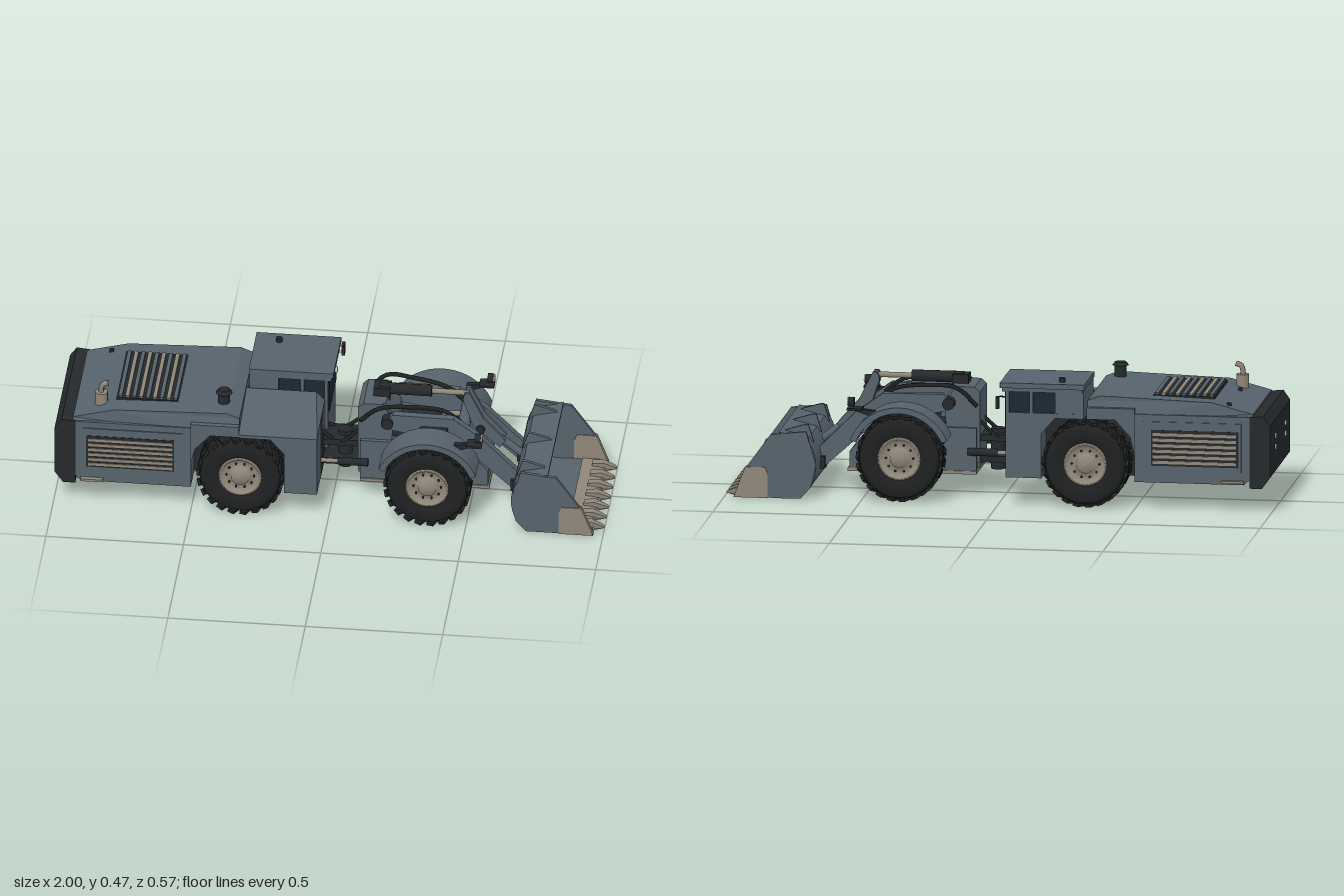
import * as THREE from 'three';

const V = (x, y, z) => new THREE.Vector3(x, y, z);
const mat = (color, side = THREE.FrontSide) => new THREE.MeshStandardMaterial({ color, side });
const steel = mat(0x56626d), dark = mat(0x25292c), rubber = mat(0x1f2122), tan = mat(0x8f8678);
const glass = mat(0x1b2931), lamp = mat(0xe0cda8);

export function createModel() {
  const model = new THREE.Group();
  const root = new THREE.Group();
  root.name = 'loader';
  root.position.z = 0.02;
  model.add(root);

  const add = (name, geo, m, parent = root) => {
    const mesh = new THREE.Mesh(geo, m);
    mesh.name = name;
    parent.add(mesh);
    return mesh;
  };
  const box = (name, x0, x1, y0, y1, z0, z1, m, parent) =>
    add(name, new THREE.BoxGeometry(x1 - x0, y1 - y0, Math.abs(z1 - z0))
      .translate((x0 + x1) / 2, (y0 + y1) / 2, (z0 + z1) / 2), m, parent);
  // Side profile in x,y pushed from z0 to z1
  const slab = (name, pts, z0, z1, m) => {
    const shape = new THREE.Shape(pts.map(p => new THREE.Vector2(...p)));
    const lo = Math.min(z0, z1);
    return add(name, new THREE.ExtrudeGeometry(shape, { depth: Math.abs(z1 - z0), bevelEnabled: false })
      .translate(0, 0, lo), m);
  };
  const rod = (name, a, b, r, m, seg = 14) => {
    const mesh = add(name, new THREE.CylinderGeometry(r, r, a.distanceTo(b), seg), m);
    mesh.position.copy(a).lerp(b, 0.5);
    mesh.quaternion.setFromUnitVectors(V(0, 1, 0), b.clone().sub(a).normalize());
    return mesh;
  };
  const hose = (name, pts, r, m) =>
    add(name, new THREE.TubeGeometry(new THREE.CatmullRomCurve3(pts), 20, r, 6), m);
  const lathe = (pts, seg) =>
    new THREE.LatheGeometry(pts.map(p => new THREE.Vector2(...p)), seg).rotateX(Math.PI / 2);

  // Wheels with lugged tyres and bolted rims
  const wheel = (name, x, s) => {
    const g = new THREE.Group();
    g.name = name;
    g.position.set(x, 0.16, s * 0.203);
    if (s < 0) g.rotation.y = Math.PI;
    root.add(g);
    add('tyre', lathe([[0.076, -0.045], [0.1, -0.055], [0.133, -0.055], [0.146, -0.045], [0.149, 0],
      [0.146, 0.045], [0.133, 0.055], [0.1, 0.055], [0.076, 0.045]], 40), rubber, g);
    add('rim', lathe([[0, -0.04], [0.078, -0.04], [0.079, 0.05], [0.07, 0.052], [0.062, 0.035],
      [0.036, 0.035], [0.032, 0.052], [0, 0.054]], 32), tan, g);
    for (let i = 0; i < 10; i++) {
      const a = i * Math.PI / 5;
      add('wheelBolt', new THREE.CylinderGeometry(0.004, 0.004, 0.01, 6).rotateX(Math.PI / 2)
        .translate(Math.cos(a) * 0.05, Math.sin(a) * 0.05, 0.038), dark, g);
    }
    for (let i = 0; i < 44; i++) {
      const e = i % 2 ? 1 : -1;
      add('tread', new THREE.BoxGeometry(0.026, 0.011, 0.056).rotateY(e * 0.45)
        .translate(0, 0.152, e * 0.028).rotateZ(i * Math.PI / 22), rubber, g);
    }
  };

  // Rear chassis, bumper and engine hood
  box('rearChassis', -0.9, -0.04, 0.1, 0.34, -0.135, 0.135, dark);
  slab('rearBumper', [[-0.92, 0.35], [-0.97, 0.355], [-0.995, 0.32], [-0.995, 0.13], [-0.965, 0.088],
    [-0.92, 0.088]], -0.245, 0.245, dark);
  const hood = slab('engineHood', [[-0.93, 0.345], [-0.93, 0.358], [-0.78, 0.397], [-0.37, 0.41],
    [-0.325, 0.392], [-0.325, 0.325], [-0.5, 0.33]], -0.245, 0.245, steel);
  const hp = hood.geometry.attributes.position;
  for (let i = 0; i < hp.count; i++) if (hp.getY(i) > 0.35) hp.setZ(i, hp.getZ(i) * 0.925);
  hood.geometry.computeVertexNormals();
  box('hoodGrille', -0.78, -0.555, 0.385, 0.406, -0.16, 0.155, dark);
  for (let i = 0; i < 9; i++) {
    const x = -0.767 + i * 0.025;
    box('hoodLouvre', x - 0.007, x + 0.007, 0.395, 0.413, -0.155, 0.15, i % 2 ? tan : steel);
  }

  for (const s of [1, -1]) {
    // Rear side with an angular wheel arch
    slab('rearSide', [[-0.93, 0.35], [-0.93, 0.13], [-0.9, 0.1], [-0.5, 0.1], [-0.5, 0.25], [-0.43, 0.327],
      [-0.325, 0.327], [-0.325, 0.35]], s * 0.13, s * 0.245, steel);
    slab('archPanel', [[-0.5, 0.2], [-0.5, 0.37], [-0.325, 0.37], [-0.325, 0.327], [-0.43, 0.327],
      [-0.485, 0.265]], s * 0.22, s * 0.252, steel);
    box('sidePanel', -0.89, -0.53, 0.145, 0.325, s * 0.24, s * 0.249, steel);
    box('sideGrille', -0.88, -0.56, 0.163, 0.295, s * 0.24, s * 0.2505, dark);
    for (let i = 0; i < 6; i++)
      box('sideLouvre', -0.872, -0.566, 0.171 + i * 0.0205, 0.182 + i * 0.0205, s * 0.24, s * 0.254, tan);
    box('sideReflector', -0.9, -0.82, 0.107, 0.116, s * 0.24, s * 0.262, tan);
    for (const y of [0.22, 0.26])
      rod('rearLamp', V(-0.99, y, s * 0.12), V(-1, y, s * 0.12), 0.01, lamp);
    wheel('rearWheel', -0.32, s);
    wheel('frontWheel', 0.36, s);
  }
  for (const x of [-0.32, 0.36]) rod('axle', V(x, 0.16, -0.19), V(x, 0.16, 0.19), 0.04, dark);

  // Tank block ahead of the rear wheel, opposite the cab
  const tank = slab('sideTank', [[-0.325, 0.327], [-0.325, 0.383], [-0.07, 0.383], [-0.04, 0.35], [-0.04, 0.105],
    [-0.16, 0.105], [-0.16, 0.27], [-0.21, 0.327]], 0, 0.255, steel);
  const tp = tank.geometry.attributes.position;
  for (let i = 0; i < tp.count; i++) if (tp.getZ(i) > 0.2 && tp.getY(i) > 0.33) tp.setY(i, 0.34);
  tank.geometry.computeVertexNormals();

  // Cab
  slab('cabBody', [[-0.315, 0.327], [-0.315, 0.345], [-0.03, 0.345], [-0.03, 0.105], [-0.16, 0.105],
    [-0.16, 0.27], [-0.21, 0.327]], -0.255, -0.012, steel);
  box('cabGlass', -0.3, -0.035, 0.34, 0.437, -0.248, -0.022, glass);
  box('windscreen', -0.04, -0.026, 0.285, 0.427, -0.242, -0.025, glass);
  box('cabRearPanel', -0.315, -0.21, 0.34, 0.437, -0.254, -0.014, steel);
  for (const x of [-0.13, -0.043])
    for (const z of [-0.249, -0.019])
      box('cabPillar', x, x + 0.013, 0.34, 0.437, z - 0.006, z + 0.006, steel);
  box('roofEdge', -0.31, -0.018, 0.422, 0.438, -0.258, -0.013, steel);
  box('cabRoof', -0.318, -0.01, 0.436, 0.455, -0.264, -0.012, steel);
  for (const z of [-0.075, -0.212]) rod('cabLamp', V(-0.02, 0.436, z), V(-0.002, 0.436, z), 0.011, lamp);
  rod('roofBeacon', V(-0.23, 0.45, -0.213), V(-0.23, 0.47, -0.213), 0.012, dark);
  hose('mirrorArm', [V(-0.03, 0.4, -0.25), V(-0.012, 0.405, -0.265), V(-0.005, 0.405, -0.285)], 0.003, dark);
  box('mirror', -0.012, 0, 0.366, 0.41, -0.307, -0.281, dark);

  // Air intake, exhaust and filler on the hood
  rod('airIntake', V(-0.39, 0.39, 0.145), V(-0.39, 0.452, 0.145), 0.022, dark);
  add('intakeCap', new THREE.CylinderGeometry(0.02, 0.03, 0.012, 16).translate(-0.39, 0.456, 0.145), dark);
  rod('exhaustBase', V(-0.835, 0.37, 0.155), V(-0.835, 0.428, 0.155), 0.023, tan);
  hose('exhaustPipe', [V(-0.835, 0.41, 0.155), V(-0.835, 0.445, 0.155), V(-0.828, 0.46, 0.155),
    V(-0.81, 0.466, 0.155)], 0.01, mat(0x8f8678, THREE.DoubleSide));
  for (const z of [-0.19, 0.08]) box('hoodLatch', -0.845, -0.83, 0.375, 0.392, z - 0.006, z + 0.006, dark);

  // Articulated joint and steering rams
  for (const y of [0.115, 0.195]) box('hingePlate', -0.05, 0.14, y, y + 0.024, -0.055, 0.055, dark);
  rod('hingePin', V(0.035, 0.085, 0), V(0.035, 0.235, 0), 0.026, dark);
  for (const s of [1, -1]) {
    rod('steeringRam', V(0.02, 0.165, s * 0.112), V(0.13, 0.165, s * 0.112), 0.014, dark);
    rod('steeringRod', V(-0.06, 0.165, s * 0.112), V(0.03, 0.165, s * 0.112), 0.008, tan);
    hose('jointHose', [V(-0.05, 0.24, s * 0.03), V(0.02, 0.21, s * 0.05), V(0.1, 0.27, s * 0.04)], 0.007, rubber);
  }

  // Front frame
  slab('frontTower', [[0.09, 0.1], [0.09, 0.38], [0.11, 0.398], [0.19, 0.4], [0.23, 0.33], [0.25, 0.1]],
    -0.075, 0.075, steel);
  slab('frontFrame', [[0.1, 0.09], [0.1, 0.25], [0.48, 0.25], [0.565, 0.15], [0.565, 0.09]], -0.1, 0.1, steel);
  box('bellyPlate', 0.1, 0.57, 0.08, 0.092, -0.105, 0.105, tan);

  for (const s of [1, -1]) {
    slab('towerSide', [[0.09, 0.12], [0.09, 0.38], [0.11, 0.398], [0.18, 0.4], [0.22, 0.33], [0.2, 0.12]],
      s * 0.07, s * 0.085, steel);
    // Front wheel guard with a faceted arch
    const arch = new THREE.Shape();
    arch.absarc(0.36, 0.16, 0.19, 0.35, 2.75, false);
    arch.absarc(0.36, 0.16, 0.168, 2.75, 0.35, true);
    const fender = add('frontFender', new THREE.ExtrudeGeometry(arch,
      { depth: 0.115, bevelEnabled: false, curveSegments: 10 }), steel);
    fender.position.z = s > 0 ? 0.145 : -0.26;
    slab('fenderInnerWall', [[0.2, 0.24], [0.27, 0.32], [0.36, 0.345], [0.45, 0.32], [0.53, 0.23]],
      s * 0.142, s * 0.148, steel);
    box('fenderMount', 0.32, 0.42, 0.24, 0.335, s * 0.1, s * 0.145, dark);
    // Work lamps
    box('lampBracket', 0.5, 0.555, 0.328, 0.336, s * 0.18, s * 0.232, dark);
    slab('lampStay', [[0.45, 0.3], [0.45, 0.325], [0.52, 0.335], [0.54, 0.328]], s * 0.195, s * 0.215, dark);
    rod('lampHousing', V(0.53, 0.357, s * 0.206), V(0.552, 0.357, s * 0.206), 0.017, dark);
    rod('lampLens', V(0.55, 0.357, s * 0.206), V(0.556, 0.357, s * 0.206), 0.0145, lamp);
    // Boom, lift rams and hoses
    slab('boomArm', [[0.18, 0.33], [0.22, 0.375], [0.44, 0.372], [0.54, 0.3], [0.7, 0.14], [0.7, 0.09],
      [0.66, 0.09], [0.46, 0.27], [0.22, 0.31]], s * 0.086, s * 0.114, steel);
    rod('boomPivot', V(0.2, 0.34, s * 0.07), V(0.2, 0.34, s * 0.125), 0.022, dark);
    rod('liftRam', V(0.2, 0.27, s * 0.06), V(0.38, 0.285, s * 0.06), 0.02, dark);
    rod('liftRod', V(0.38, 0.285, s * 0.06), V(0.5, 0.295, s * 0.06), 0.01, tan);
    hose('boomHose', [V(0.1, 0.33, s * 0.09), V(0.17, 0.4, s * 0.115), V(0.27, 0.405, s * 0.1),
      V(0.4, 0.385, s * 0.08), V(0.46, 0.34, s * 0.07)], 0.008, rubber);
    // Tilt lever plates
    slab('tiltLever', [[0.465, 0.405], [0.472, 0.43], [0.49, 0.432], [0.54, 0.33], [0.62, 0.24], [0.6, 0.21],
      [0.5, 0.3]], s * 0.014, s * 0.028, steel);
    box('bucketEar', 0.65, 0.698, 0.09, 0.135, s * 0.1 - 0.027, s * 0.1 + 0.027, dark);
    box('earCap', 0.67, 0.7, 0.132, 0.145, s * 0.1 - 0.016, s * 0.1 + 0.016, steel);
  }
  rod('boomCrossTube', V(0.47, 0.305, -0.1), V(0.47, 0.305, 0.1), 0.023, steel);
  rod('leverPin', V(0.53, 0.285, -0.04), V(0.53, 0.285, 0.04), 0.016, dark);
  rod('bucketLink', V(0.6, 0.235, 0), V(0.69, 0.165, 0), 0.014, steel);
  rod('tiltRam', V(0.16, 0.418, 0), V(0.35, 0.418, 0), 0.021, dark);
  rod('tiltRod', V(0.34, 0.418, 0), V(0.485, 0.418, 0), 0.01, tan);
  box('tiltRamBracket', 0.14, 0.2, 0.38, 0.432, -0.03, 0.03, dark);

  // Bucket shell, side plates, cutting edge and teeth
  const outer = new THREE.SplineCurve([[0.86, 0.004], [0.74, 0.004], [0.685, 0.045], [0.665, 0.12], [0.675, 0.18],
    [0.697, 0.221]].map(p => new THREE.Vector2(...p))).getPoints(16).map(p => [p.x, p.y]);
  const inner = outer.map(([x, y]) => [x + (x < 0.74 ? 0.014 : 0), y + (x < 0.7 ? 0 : 0.01)]).reverse();
  slab('bucketShell', [[0.96, 0.004], ...outer, [0.8, 0.246], [0.8, 0.236], ...inner, [0.96, 0.012]],
    -0.25, 0.25, steel);
  for (const s of [1, -1]) {
    slab('bucketSide', [[0.72, 0.003], [0.955, 0.003], [0.92, 0.11], [0.83, 0.236], [0.7, 0.25], [0.665, 0.13],
      [0.683, 0.045]], s * 0.241, s * 0.254, steel);
    slab('sideWearPlate', [[0.84, 0.002], [0.965, 0.002], [0.922, 0.115], [0.85, 0.115], [0.84, 0.09]],
      s * 0.238, s * 0.257, tan);
  }
  for (const z of [-0.19, 0, 0.19])
    slab('bucketGusset', [[0.68, 0.2], [0.7, 0.264], [0.715, 0.264], [0.79, 0.242]], z - 0.006, z + 0.006, steel);
  slab('cuttingEdge', [[0.87, 0.002], [0.96, 0.002], [0.965, 0.008], [0.93, 0.018], [0.87, 0.018]], -0.25, 0.25, tan);
  for (let i = -3; i <= 3; i++) {
    const tooth = slab('bucketTooth', [[0.91, 0], [0.96, 0], [1, 0.008], [0.995, 0.015], [0.95, 0.033],
      [0.91, 0.028]], -0.014, 0.014, tan);
    const p = tooth.geometry.attributes.position;
    for (let k = 0; k < p.count; k++) if (p.getX(k) > 0.98) p.setZ(k, p.getZ(k) * 0.6);
    tooth.geometry.computeVertexNormals();
    tooth.position.z = i * 0.067;
  }
  return model;
}
